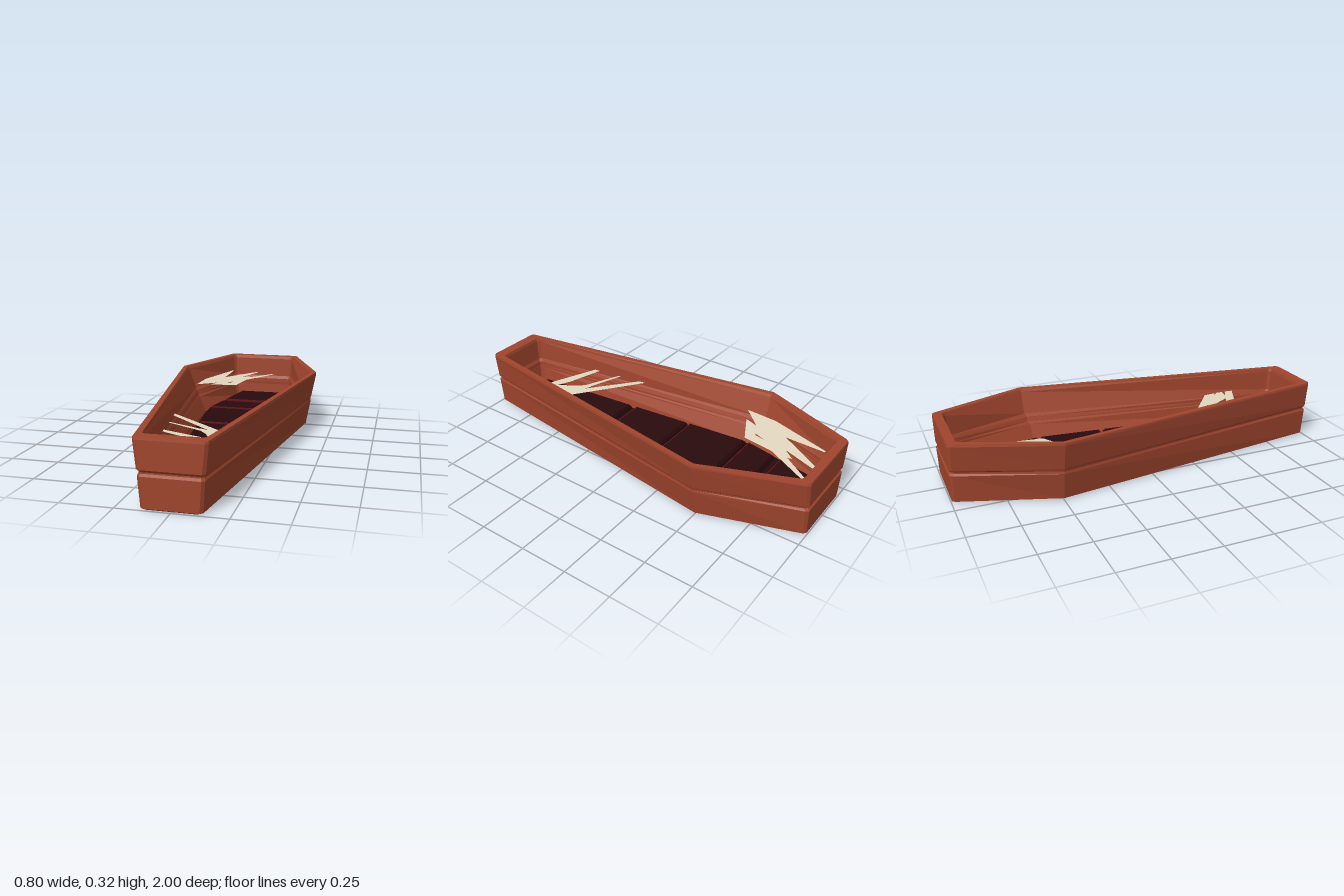
import * as THREE from 'three';

const mat = (name, color, extra = {}) =>
  Object.assign(new THREE.MeshStandardMaterial({ color, flatShading: true, ...extra }), { name });

// Six-sided coffin outline with bevelled head and foot corners
function outline(y, shoulder, head, foot, zHead, zFoot, zShoulder = -0.5, b = 0.013) {
  const half = [
    [head - b, zHead], [head, zHead + b], [shoulder, zShoulder],
    [foot, zFoot - b], [foot - b, zFoot],
  ];
  const mirrored = half.map(([x, z]) => [-x, z]).reverse();
  return [...half, ...mirrored].map(([x, z]) => new THREE.Vector3(x, y, z));
}

// Skin a stack of rings, optionally closing the first (facing down) and last (facing up)
function loft(rings, capFirst, capLast) {
  const p = [];
  const tri = (...v) => v.forEach((q) => p.push(q.x, q.y, q.z));
  const n = rings[0].length;
  const centre = (r) => r.reduce((s, v) => s.add(v), new THREE.Vector3()).divideScalar(n);
  const first = rings[0], last = rings[rings.length - 1];
  const c0 = centre(first), c1 = centre(last);
  for (let i = 0; i < n; i++) {
    const j = (i + 1) % n;
    for (let k = 0; k + 1 < rings.length; k++) {
      const a = rings[k], b = rings[k + 1];
      tri(a[i], b[i], b[j]);
      tri(a[i], b[j], a[j]);
    }
    if (capFirst) tri(c0, first[i], first[j]);
    if (capLast) tri(c1, last[j], last[i]);
  }
  const g = new THREE.BufferGeometry();
  g.setAttribute('position', new THREE.Float32BufferAttribute(p, 3));
  g.computeVertexNormals();
  return g;
}

export function createModel() {
  const model = new THREE.Group();
  const wood = mat('red brown wood', 0x9f452d);
  const lining = mat('dark maroon lining', 0x290a0d);
  const red = mat('deep red cushion edge', 0x651215);
  const silk = mat('pale web', 0xe2d8c0, { side: THREE.DoubleSide });
  const add = (name, geo, material) => {
    const m = new THREE.Mesh(geo, material);
    m.name = name;
    model.add(m);
    return m;
  };

  // Shell: bowed underside, grooved outer wall, rim, then sloping inner wall with a slight ledge
  const floorRing = outline(0.05, 0.255, 0.168, 0.115, -0.935, 0.9, -0.47);
  add('shell', loft([
    outline(0, 0.165, 0.165, 0.122, -0.985, 0.985),
    outline(0.008, 0.347, 0.18, 0.136, -0.997, 0.997),
    outline(0.148, 0.372, 0.192, 0.146, -1, 1),
    outline(0.158, 0.37, 0.187, 0.142, -0.99, 0.99),
    outline(0.165, 0.371, 0.187, 0.142, -0.99, 0.99),
    outline(0.176, 0.375, 0.195, 0.149, -1, 1),
    outline(0.305, 0.4, 0.215, 0.162, -1, 1),
    outline(0.316, 0.399, 0.213, 0.16, -0.998, 0.998),
    outline(0.316, 0.374, 0.193, 0.14, -0.955, 0.94),
    outline(0.3, 0.366, 0.19, 0.138, -0.95, 0.935),
    outline(0.19, 0.326, 0.185, 0.134, -0.946, 0.926),
    outline(0.172, 0.314, 0.179, 0.128, -0.938, 0.916, -0.49),
    outline(0.15, 0.306, 0.178, 0.127, -0.938, 0.915, -0.49),
    outline(0.135, 0.296, 0.177, 0.126, -0.94, 0.912, -0.48),
    floorRing,
  ], true, false), wood);
  add('floor', loft([floorRing], false, true), lining);

  // Row of padded cushions following the taper, with a red edge on the foot side
  const width = (z) => z < -0.46
    ? THREE.MathUtils.mapLinear(z, -0.92, -0.46, 0.13, 0.22)
    : THREE.MathUtils.mapLinear(z, -0.46, 0.84, 0.22, 0.098);
  const pad = (y, z0, z1, grow) => [[z0, 1], [z1, 1], [z1, -1], [z0, -1]].map(
    ([z, s]) => new THREE.Vector3(s * (width(z) + grow), y, z));
  const cushions = [[-0.92, -0.68], [-0.62, -0.475], [-0.435, -0.125], [-0.085, 0.215], [0.275, 0.82]];
  cushions.forEach(([a, b], i) => {
    const isLast = i === cushions.length - 1;
    const end = isLast ? 0.07 : 0;
    add('cushion' + (i + 1), loft([
      pad(0.045, a - 0.012, b + end, 0.025),
      pad(0.07, a - 0.008, b + end * 0.6, 0.015),
      pad(0.085, a, b, 0),
    ], false, true), lining);
    if (!isLast) {
      add('cushionEdge' + (i + 1), new THREE.BoxGeometry(2 * width(b) + 0.01, 0.034, 0.006), red)
        .position.set(0, 0.067, b + 0.003);
    }
  });

  // Cobwebs: flat strands given as [x, z] corners, at a gently sloping height
  function web(name, strands, height) {
    const shapes = strands.map((s) => new THREE.Shape(s.map(([x, z]) => new THREE.Vector2(x, -z))));
    const g = new THREE.ShapeGeometry(shapes).rotateX(-Math.PI / 2);
    const p = g.attributes.position;
    for (let i = 0; i < p.count; i++) p.setY(i, height(p.getX(i), p.getZ(i)));
    g.computeVertexNormals();
    add(name, g, silk);
  }
  web('headWeb', [
    [[-0.195, -0.9], [-0.185, -0.9], [-0.19, -0.66], [-0.175, -0.54], [-0.295, -0.41], [-0.285, -0.58]],
    [[-0.045, -0.94], [-0.03, -0.94], [-0.1, -0.73], [-0.18, -0.55], [-0.205, -0.66]],
    [[0.06, -0.935], [0.075, -0.935], [-0.055, -0.68], [-0.078, -0.515], [-0.13, -0.52], [-0.1, -0.69]],
    [[-0.078, -0.515], [-0.22, -0.445], [-0.195, -0.52], [-0.125, -0.55]],
    [[-0.055, -0.79], [-0.05, -0.77], [-0.105, -0.63], [-0.155, -0.5], [-0.205, -0.49], [-0.142, -0.68]],
  ], (x) => 0.214 - 0.07 * (x + 0.11));
  web('footWeb', [
    [[-0.24, 0.205], [-0.23, 0.245], [0, 0.445], [0.165, 0.59], [0.16, 0.52]],
    [[-0.21, 0.37], [-0.21, 0.382], [-0.02, 0.475], [0.1, 0.61], [0.065, 0.5], [-0.02, 0.445]],
    [[-0.2, 0.505], [-0.185, 0.54], [0.165, 0.7], [0.168, 0.655], [0, 0.57]],
    [[-0.03, 0.435], [0.03, 0.465], [0.168, 0.6], [0.168, 0.635], [0.075, 0.62]],
    [[0.155, 0.525], [0.125, 0.535], [0.075, 0.62], [0.11, 0.64]],
  ], (x) => 0.205 - 0.02 * x);

  return model;
}
